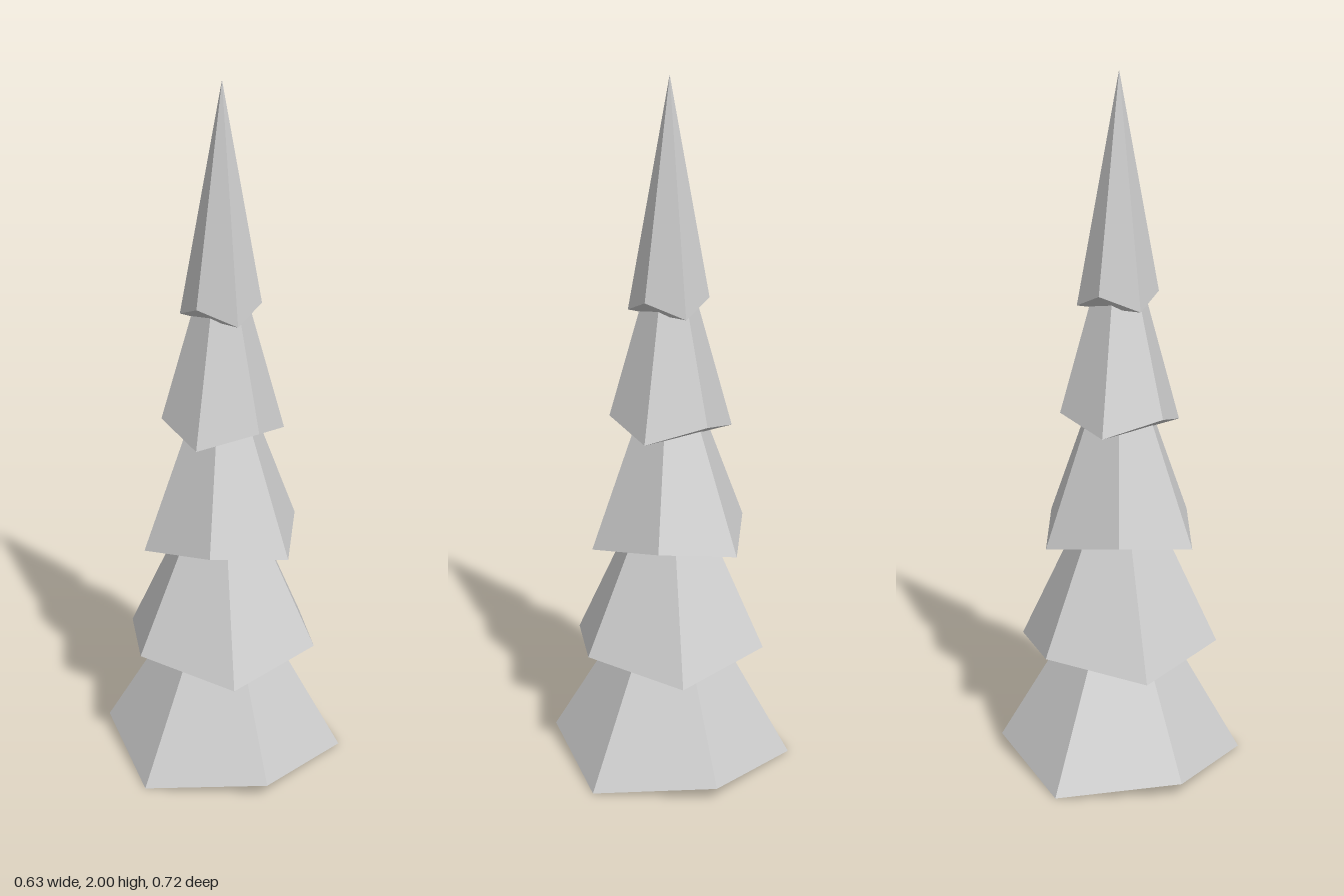
import * as THREE from 'three';

const TIERS = 5;
const SPACING = 0.34;  // height step between tiers
const HEIGHT = 0.64;   // rim to apex of one tier
const RIM_LIFT = 0.042; // alternate rim corners are raised

// Six-sided pyramid with a zigzag rim and a closed underside
function tierGeometry(radius, turn) {
  const apex = [0, HEIGHT, 0];
  const rim = [];
  for (let k = 0; k < 6; k++) {
    const raised = k % 2 === 1;
    const r = raised ? radius - 0.007 : radius;
    const a = turn + (k * Math.PI) / 3;
    rim.push([r * Math.sin(a), raised ? RIM_LIFT : 0, r * Math.cos(a)]);
  }
  const points = [];
  for (let k = 0; k < 6; k++) points.push(...rim[k], ...rim[(k + 1) % 6], ...apex);
  // underside: flat triangle of the low corners plus a flap to each raised corner
  points.push(...rim[4], ...rim[2], ...rim[0]);
  for (let k = 0; k < 6; k += 2) points.push(...rim[(k + 2) % 6], ...rim[k + 1], ...rim[k]);

  const geometry = new THREE.BufferGeometry();
  geometry.setAttribute('position', new THREE.Float32BufferAttribute(points, 3));
  geometry.computeVertexNormals();
  return geometry;
}

export function createModel() {
  const tree = new THREE.Group();
  tree.name = 'tree';
  const material = new THREE.MeshStandardMaterial({ color: 0xcccccc, flatShading: true });

  // Stacked foliage tiers, each smaller and turned by 45 degrees
  for (let i = 0; i < TIERS; i++) {
    const turn = THREE.MathUtils.degToRad(-60 + 45 * i);
    const tier = new THREE.Mesh(tierGeometry(0.362 - 0.061 * i, turn), material);
    tier.name = `foliageTier${i + 1}`;
    tier.position.y = i * SPACING;
    tree.add(tier);
  }
  return tree;
}
